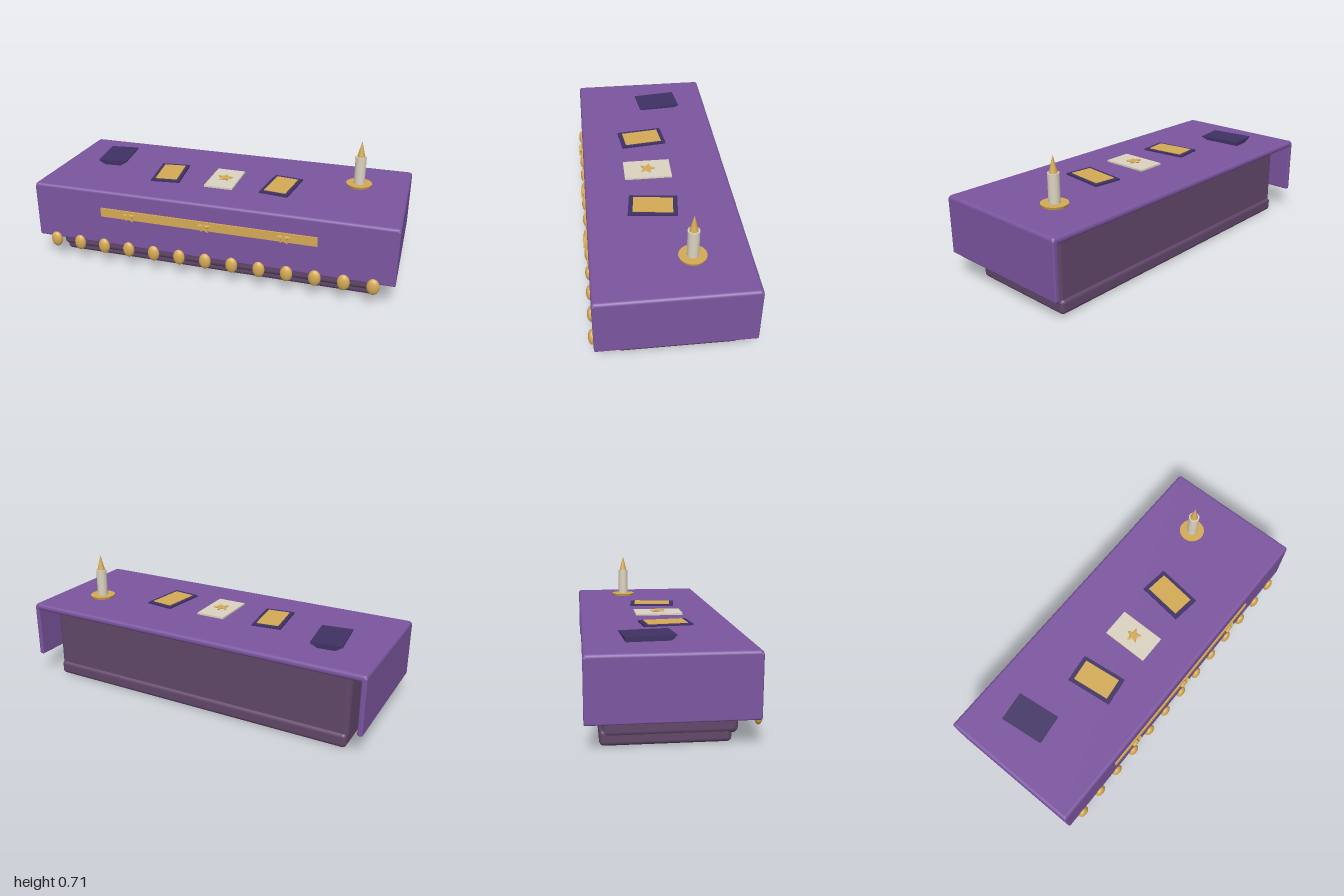
import * as THREE from 'three';
import { RoundedBoxGeometry } from 'three/addons/geometries/RoundedBoxGeometry.js';

const paint = (name, color) => {
  const m = new THREE.MeshStandardMaterial({ color });
  m.name = name;
  return m;
};

export function createModel() {
  const purple = paint('purple cloth', 0x7b559f);
  const wood = paint('dark plum wood', 0x614769);
  const gold = paint('gold', 0xd4aa55);
  const indigo = paint('indigo card', 0x3f3164);
  const cream = paint('cream', 0xdcd3c0);

  const model = new THREE.Group();
  model.name = 'fortuneTable';

  const add = (name, geometry, material, x, y, z, parent = model) => {
    const mesh = new THREE.Mesh(geometry, material);
    mesh.name = name;
    mesh.position.set(x, y, z);
    parent.add(mesh);
    return mesh;
  };
  // Rounded block given by its limits on each axis
  const block = (name, material, [x0, x1], [y0, y1], [z0, z1], r) =>
    add(name, new RoundedBoxGeometry(x1 - x0, y1 - y0, z1 - z0, 3, r), material,
      (x0 + x1) / 2, (y0 + y1) / 2, (z0 + z1) / 2);

  // Five-pointed star with a bevelled rim, facing +z, back at z = 0
  const starGeometry = (r, depth) => {
    const shape = new THREE.Shape();
    for (let i = 0; i < 10; i++) {
      const a = Math.PI / 2 + i * Math.PI / 5;
      const d = i % 2 ? r * 0.48 : r;
      shape[i ? 'lineTo' : 'moveTo'](Math.cos(a) * d, Math.sin(a) * d);
    }
    shape.closePath();
    const bevel = depth * 0.3;
    return new THREE.ExtrudeGeometry(shape, {
      depth: depth - 2 * bevel, bevelThickness: bevel, bevelSize: 0.004,
      bevelOffset: -0.004, bevelSegments: 1,
    }).translate(0, 0, bevel);
  };

  // Table body and plinth
  block('plinth', wood, [-0.9, 0.9], [0, 0.08], [-0.34, 0.27], 0.022);
  block('tableBody', wood, [-0.905, 0.905], [0.042, 0.44], [-0.328, 0.3], 0.028);

  // Cloth: top, front drop and two side drops, open at the back
  block('clothTop', purple, [-1, 1], [0.415, 0.453], [-0.41, 0.385], 0.017);
  block('clothFront', purple, [-0.998, 0.998], [0.135, 0.442], [0.357, 0.385], 0.008);
  for (const s of [-1, 1]) {
    const limits = s < 0 ? [-1, -0.972] : [0.972, 1];
    block(s < 0 ? 'clothRightSide' : 'clothLeftSide', purple, limits, [0.135, 0.442], [-0.41, 0.385], 0.008);
  }

  // Gold band with three stars
  add('goldBand', new THREE.BoxGeometry(1.2, 0.05, 0.012), gold, 0, 0.329, 0.387);
  const bandStar = starGeometry(0.036, 0.018);
  for (const x of [-0.428, 0, 0.428]) add('bandStar', bandStar, gold, x, 0.328, 0.39);

  // Row of hanging beads along the hem
  const bead = new THREE.SphereGeometry(1, 20, 14).scale(0.033, 0.044, 0.02);
  for (let i = -6; i <= 6; i++) add('hemBead', bead, gold, i * 0.1485, 0.123, 0.391);

  // Two tilted cards with gold faces
  for (const s of [-1, 1]) {
    const card = new THREE.Group();
    card.name = s < 0 ? 'rightCard' : 'leftCard';
    card.position.set(s * 0.325, 0.453, 0.032);
    card.rotation.y = -s * 0.12;
    model.add(card);
    add('cardBack', new THREE.BoxGeometry(0.162, 0.009, 0.26), indigo, 0, 0.0045, 0, card);
    add('cardFace', new THREE.BoxGeometry(0.122, 0.004, 0.212), gold, 0, 0.0105, 0, card);
  }

  // Central cream card with a star
  add('centreCard', new THREE.BoxGeometry(0.162, 0.01, 0.262), cream, 0, 0.458, 0.03);
  add('cardStar', starGeometry(0.044, 0.01), gold, 0, 0.462, 0.03).rotation.x = -Math.PI / 2;

  // Deck of cards that spreads towards the top
  const deck = new THREE.Group();
  deck.name = 'cardDeck';
  deck.position.set(-0.713, 0.453, -0.102);
  deck.rotation.y = 0.12;
  model.add(deck);
  for (let i = 0; i < 5; i++) {
    const layer = new THREE.BoxGeometry(0.1 + i * 0.0165, 0.0068, 0.22 + i * 0.0065);
    add('deckCard', layer, indigo, 0, 0.0035 + i * 0.0065, 0, deck).rotation.y = (i - 4) * 0.012;
  }

  // Candle on its saucer
  const candle = new THREE.Group();
  candle.name = 'candle';
  candle.position.set(0.73, 0.453, -0.117);
  model.add(candle);
  add('saucer', new THREE.CylinderGeometry(0.071, 0.066, 0.014, 32), gold, 0, 0.007, 0, candle);
  add('wax', new THREE.CylinderGeometry(0.03, 0.03, 0.153, 24), cream, 0, 0.0905, 0, candle);
  add('flame', new THREE.ConeGeometry(0.022, 0.09, 20), gold, 0, 0.212, 0, candle);

  return model;
}
